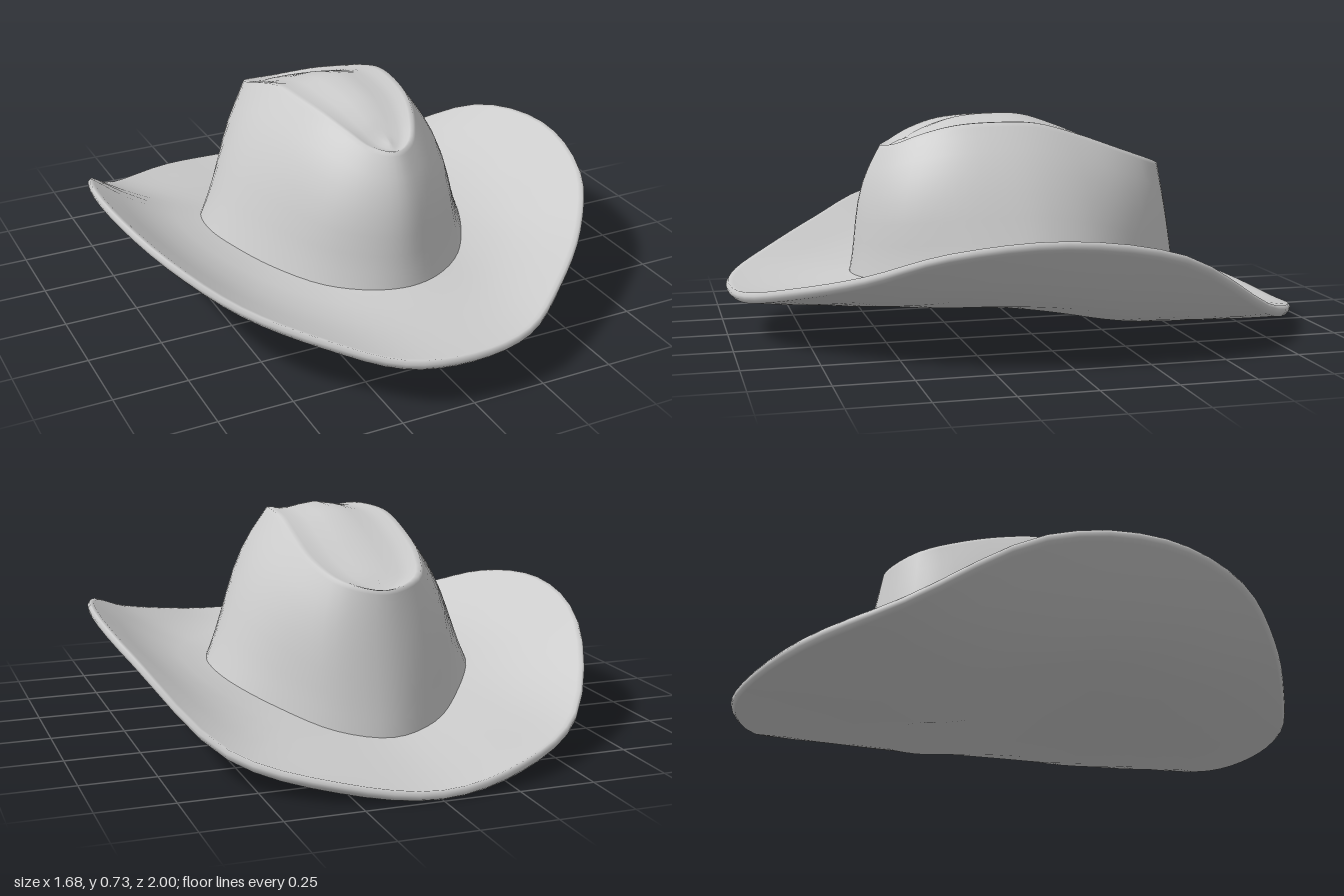
import * as THREE from 'three';
import { mergeVertices } from 'three/addons/utils/BufferGeometryUtils.js';

// Half outlines [x, y, z], running from front centre round to back centre
const EDGE = [[0, 0.18, 1], [0.22, 0.19, 0.96], [0.42, 0.235, 0.82], [0.62, 0.3, 0.63], [0.77, 0.385, 0.4],
  [0.84, 0.42, 0.05], [0.79, 0.35, -0.35], [0.59, 0.14, -0.72], [0.3, 0.07, -0.93], [0, 0.035, -1]];
const BASE = [[0, 0.2, 0.58], [0.12, 0.2, 0.55], [0.25, 0.2, 0.45], [0.36, 0.21, 0.28], [0.43, 0.22, 0.1],
  [0.455, 0.22, -0.03], [0.43, 0.2, -0.2], [0.32, 0.15, -0.38], [0.17, 0.1, -0.54], [0, 0.08, -0.6]];
const RIM = [[0, 0.635, 0.47], [0.07, 0.645, 0.43], [0.12, 0.68, 0.35], [0.16, 0.71, 0.24], [0.185, 0.72, 0.1],
  [0.195, 0.715, -0.03], [0.2, 0.68, -0.16], [0.19, 0.62, -0.33], [0.13, 0.57, -0.47], [0, 0.545, -0.525]];

const SEGMENTS = 72;
const lerp = THREE.MathUtils.lerp;
const blend = (A, B, t) => A.map((p, i) => p.map((v, k) => lerp(v, B[i][k], t)));

// Mirror a half outline and smooth it into a closed ring
function ring(half) {
  const mirrored = half.slice(1, -1).reverse().map(([x, y, z]) => [-x, y, z]);
  const pts = [...half, ...mirrored].map((p) => new THREE.Vector3(...p));
  const curve = new THREE.CatmullRomCurve3(pts, true);
  return Array.from({ length: SEGMENTS }, (_, i) => curve.getPoint(i / SEGMENTS));
}

// Skin a stack of rings
function loft(halves) {
  const positions = [], index = [];
  halves.forEach((half) => ring(half).forEach((p) => positions.push(p.x, p.y, p.z)));
  for (let j = 0; j < halves.length - 1; j++) {
    for (let i = 0; i < SEGMENTS; i++) {
      const n = (i + 1) % SEGMENTS;
      const a = j * SEGMENTS + i, b = j * SEGMENTS + n;
      index.push(a, b, b + SEGMENTS, a, b + SEGMENTS, a + SEGMENTS);
    }
  }
  const geometry = new THREE.BufferGeometry();
  geometry.setAttribute('position', new THREE.Float32BufferAttribute(positions, 3));
  geometry.setIndex(index);
  const merged = mergeVertices(geometry, 1e-4);
  merged.computeVertexNormals();
  return merged;
}

// Brim: closed underside, rolled edge, dished top running in to the crown
function brimRings() {
  const under = BASE.map(([x, , z]) => [x, lerp(0.01, 0.135, THREE.MathUtils.smoothstep(z, -0.62, 0.15)), z]);
  const underSpine = under.map(([, y, z]) => [0, y, z * 0.7]);
  const roll = (scale, drop) => EDGE.map(([x, y, z]) => [x * scale, Math.max(0.003, y - drop), z * scale]);
  const sag = (A, B, t) => blend(A, B, t).map(([x, y, z], i) =>
    [x, Math.max(0.008, y - 0.5 * Math.max(0, EDGE[i][1] - 0.1) * t * (1 - t)), z]);
  const low = roll(0.985, 0.037), top = roll(0.975, 0.004);
  return [
    underSpine, blend(underSpine, under, 0.6), under,
    ...[0.25, 0.5, 0.75].map((t) => sag(under, low, t)),
    low, roll(0.997, 0.025), roll(1, 0.012), roll(0.992, 0), top,
    ...[0.75, 0.5, 0.25].map((t) => sag(BASE, top, t)),
    BASE,
  ];
}

// Crown: bulging sides up to a teardrop rim, then a shallow top panel
function crownRings() {
  const side = (t) => {
    const bulge = 0.03 * Math.sin(Math.PI * t ** 1.5);
    return blend(BASE, RIM, t).map(([x, y, z]) => [
      x + bulge * Math.min(1, x / 0.2), y, z + bulge * THREE.MathUtils.clamp(z / 0.4, 0, 1)]);
  };
  const spine = RIM.map(([, y, z]) => [0, y + 0.016, z * 0.86]);
  const panel = (t, dip) => blend(RIM, spine, t).map(([x, y, z]) => [x, y - dip, z]);
  return [
    ...[0, 0.12, 0.25, 0.4, 0.55, 0.7, 0.82, 0.92, 0.97].map(side),
    RIM, panel(0.1, 0.002), panel(0.25, 0.009), panel(0.45, 0.01), panel(0.7, 0.004), spine,
  ];
}

export function createModel() {
  const group = new THREE.Group();
  group.name = 'wideBrimHat';
  const material = new THREE.MeshStandardMaterial({ color: 0xcccccc, side: THREE.DoubleSide });
  for (const [name, rings] of [['brim', brimRings()], ['crown', crownRings()]]) {
    const mesh = new THREE.Mesh(loft(rings), material);
    mesh.name = name;
    group.add(mesh);
  }
  return group;
}
